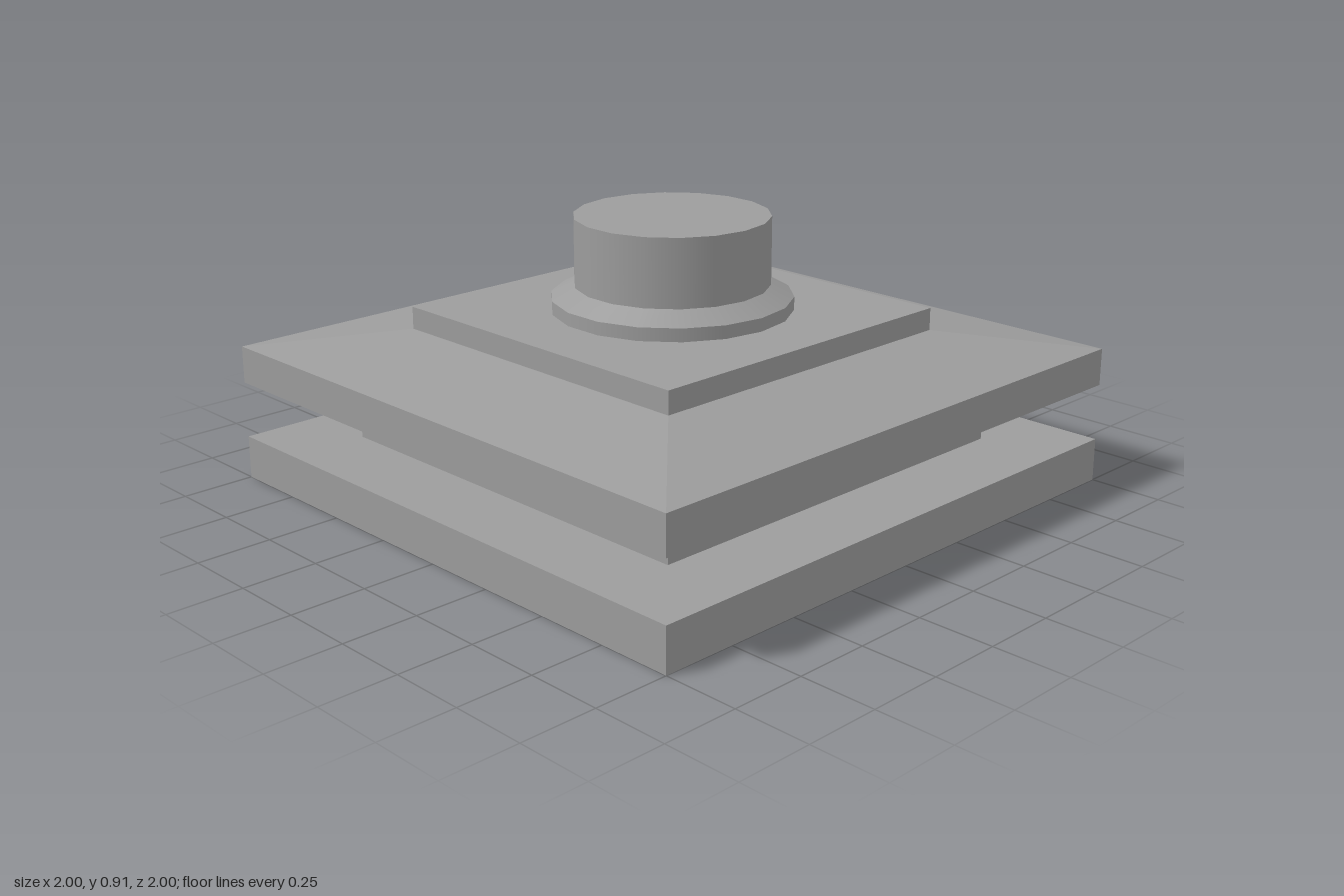
import * as THREE from 'three';

const flat = new THREE.MeshStandardMaterial({ color: 0x9c9c9c, flatShading: true });
const smooth = new THREE.MeshStandardMaterial({ color: 0x9c9c9c });

export function createModel() {
  const model = new THREE.Group();

  const add = (name, geometry, material, y0, y1) => {
    const mesh = new THREE.Mesh(geometry, material);
    mesh.name = name;
    mesh.position.y = (y0 + y1) / 2;
    model.add(mesh);
    return mesh;
  };

  // Square tier between two heights
  const slab = (name, half, y0, y1) =>
    add(name, new THREE.BoxGeometry(2 * half, y1 - y0, 2 * half), flat, y0, y1);

  // Round 18-sided tier, with corners on the x axis
  const drum = (name, rBottom, rTop, y0, y1) => {
    const geometry = new THREE.CylinderGeometry(rTop, rBottom, y1 - y0, 18, 1, false, Math.PI / 2);
    const mesh = add(name, geometry, smooth, y0, y1);
    mesh.position.x = -0.005;
    mesh.position.z = -0.01;
  };

  // Square base, recessed neck and overhanging slab
  slab('base', 1, 0, 0.145);
  slab('neck', 0.73, 0.145, 0.335);
  slab('overhang', 1, 0.335, 0.46);

  // Sloped roof: a four-sided frustum turned square to the axes
  const roof = new THREE.CylinderGeometry(0.6 * Math.SQRT2, Math.SQRT2, 0.063, 4, 1, false, Math.PI / 4);
  add('slopedRoof', roof, flat, 0.46, 0.523);
  slab('topPlate', 0.598, 0.523, 0.598);

  // Round collar with a tapered shoulder and the drum on top
  drum('collar', 0.398, 0.398, 0.598, 0.642);
  drum('collarTaper', 0.398, 0.322, 0.642, 0.681);
  drum('drum', 0.322, 0.322, 0.681, 0.908);

  return model;
}
